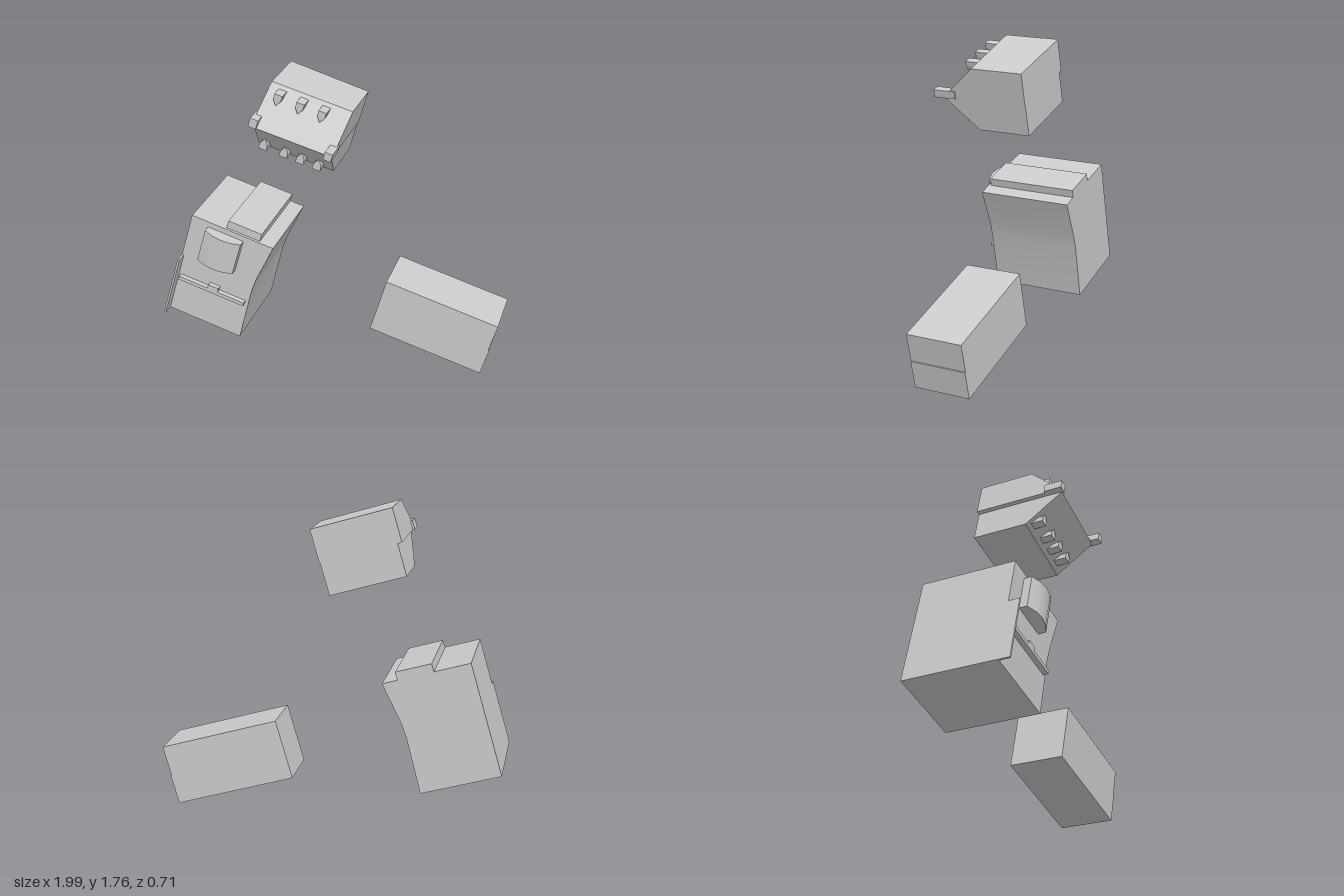
import * as THREE from 'three';
import { toCreasedNormals } from 'three/addons/utils/BufferGeometryUtils.js';

const material = new THREE.MeshStandardMaterial({ color: 0xcccccc });

function add(group, name, geometry) {
  const mesh = new THREE.Mesh(geometry, material);
  mesh.name = name;
  group.add(mesh);
}

// Box given by its limits on each axis
function box(x0, x1, y0, y1, z0, z1) {
  return new THREE.BoxGeometry(x1 - x0, y1 - y0, z1 - z0)
    .translate((x0 + x1) / 2, (y0 + y1) / 2, (z0 + z1) / 2);
}

// Outline extruded by a depth, starting at z = 0
function prism(points, depth) {
  const shape = new THREE.Shape(points.map(([x, y]) => new THREE.Vector2(x, y)));
  return new THREE.ExtrudeGeometry(shape, { depth, bevelEnabled: false });
}

// Side profile in (z, y), extruded from x0 to x1; the front slants back towards +x
function sideProfile(points, x0, x1) {
  const g = prism(points, x1 - x0).rotateY(-Math.PI / 2).translate(x1, 0, 0);
  const p = g.attributes.position;
  for (let i = 0; i < p.count; i++) {
    if (p.getZ(i) > 0) p.setZ(i, p.getZ(i) - 0.04 * p.getX(i));
  }
  g.computeVertexNormals();
  return g;
}

// Every piece hangs in the same leaning pose
function piece(name, x, y, z, yaw) {
  const g = new THREE.Group();
  g.name = name;
  g.position.set(x, y, z);
  g.rotation.set(0, -yaw, -0.28, 'ZYX');
  return g;
}

function plainBlock() {
  const g = piece('plainBlock', 0.21, 0.21, 0.02, 0.03);
  add(g, 'blockUpperHalf', box(0, 0.702, 0.175, 0.35, -0.335, 0));
  add(g, 'blockLowerHalf', box(0, 0.708, 0, 0.175, -0.335, 0));
  return g;
}

function panelBlock() {
  const g = piece('panelBlock', -0.991, 0.294, 0, 0.04);

  // Body with its right side flaring out towards the top
  const outline = [[0, 0], [0.475, 0], [0.465, 0.34], [0.472, 0.43], [0.515, 0.672], [0, 0.672]];
  add(g, 'body', toCreasedNormals(prism(outline, 0.575).translate(0, 0, -0.357), 0.5));
  add(g, 'topSlab', box(0.213, 0.425, 0.66, 0.72, -0.357, 0.2));
  add(g, 'sideFlange', box(0, 0.012, 0, 0.39, 0.2, 0.285));

  // Bowed front panel
  const plan = [[0.11, -0.2], [0.335, -0.2]];
  for (let i = 0; i <= 4; i++) {
    const t = 1 - i / 2;
    plan.push([0.2225 + 0.1125 * t, -0.3 + 0.035 * t * t]);
  }
  const panel = prism(plan, 0.21).rotateX(-Math.PI / 2);
  // rotateX maps the plan's -y onto +z and the depth onto +y
  add(g, 'bowedPanel', toCreasedNormals(panel.translate(0, 0.43, 0), 0.5));

  // Rail with a small catch in the middle
  add(g, 'rail', box(0.025, 0.446, 0.236, 0.258, 0.2, 0.25));
  add(g, 'railCatch', box(0.21, 0.275, 0.25, 0.283, 0.2, 0.25));
  return g;
}

function toothedHead() {
  const g = piece('toothedHead', -0.346, 1.773, 0, 0.04);

  // Wedge-nosed upper and lower halves, the lower set in on one side
  add(g, 'upperJaw', sideProfile([[-0.248, 0], [0.09, 0], [0.3, -0.2], [-0.248, -0.2]], 0, 0.482));
  add(g, 'lowerJaw', sideProfile([[-0.248, -0.2], [0.3, -0.2], [0.09, -0.39], [-0.248, -0.39]], 0.025, 0.478));

  // Tabs at both ends of the nose ridge
  add(g, 'tab', box(-0.012, 0.035, -0.2, -0.146, 0.2, 0.31));
  add(g, 'tab', box(0.444, 0.49, -0.202, -0.155, 0.2, 0.337));

  // Pointed teeth: the upper row points down, the lower row up
  const tooth = (x, y, dir) => {
    const pts = [[-0.024, 0], [0.024, 0], [0.022, 0.035], [0, 0.068], [-0.022, 0.035]];
    const outline = pts.map(([px, py]) => [px + x, y + dir * py]);
    add(g, 'tooth', prism(outline, 0.13).translate(0, 0, 0.055 - 0.03 * x));
  };
  [0.078, 0.208, 0.338].forEach((x) => tooth(x, -0.018, -1));
  [0.073, 0.197, 0.296, 0.397].forEach((x) => tooth(x, -0.37, 1));
  return g;
}

export function createModel() {
  const model = new THREE.Group();
  model.name = 'threeBlocks';
  model.add(plainBlock(), panelBlock(), toothedHead());
  return model;
}
